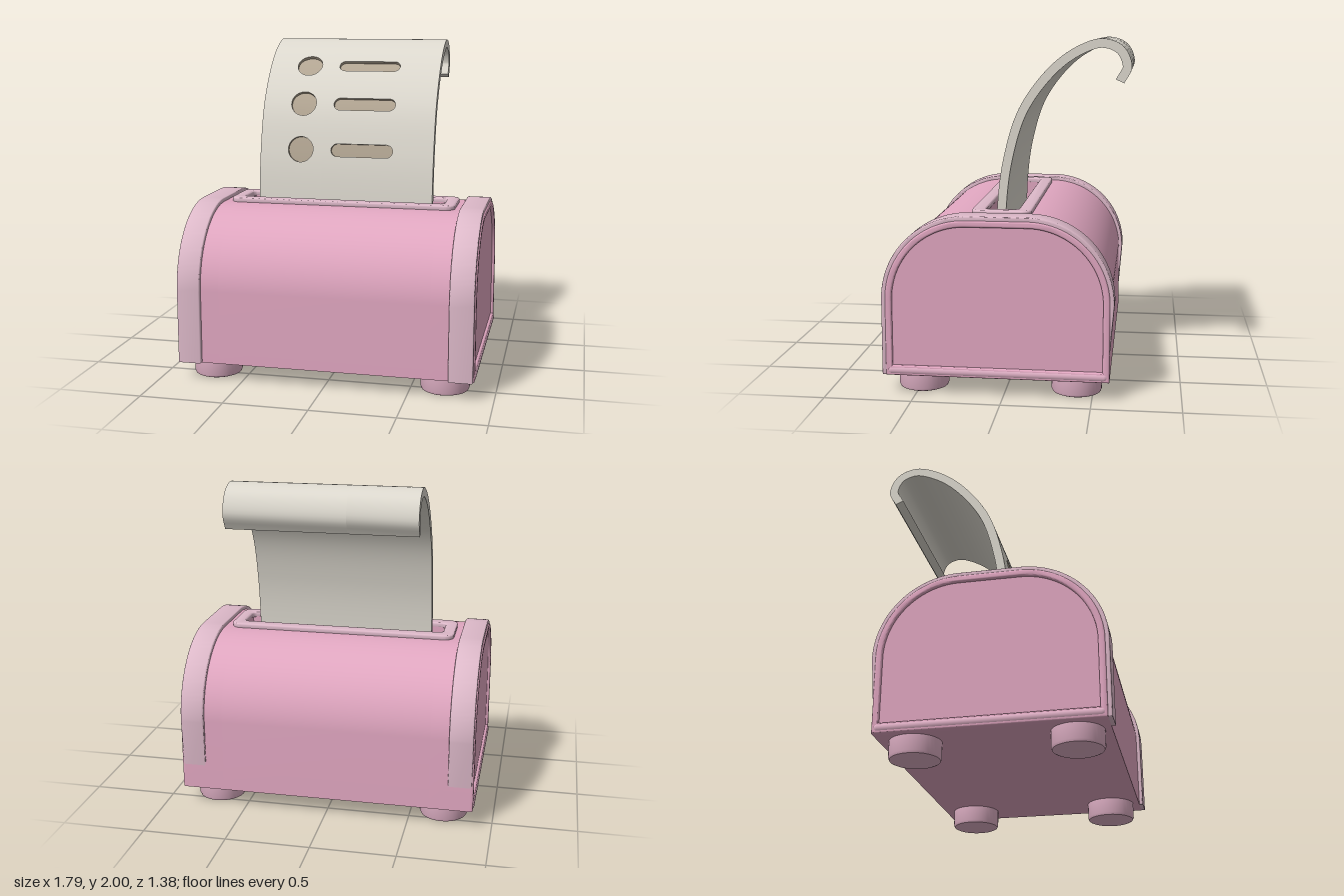
import * as THREE from 'three';
import { mergeGeometries, toCreasedNormals } from 'three/addons/utils/BufferGeometryUtils.js';
import { ParametricGeometry } from 'three/addons/geometries/ParametricGeometry.js';

const mat = (name, color, side = THREE.FrontSide) => {
  const m = new THREE.MeshStandardMaterial({ color, side });
  m.name = name;
  return m;
};

const BASE = 0.11, SPRING = 0.55;
const halfW = (o) => 0.6325 + o;
const radius = (o) => 0.46 + o;
const flat = halfW(0) - radius(0);

// Arched cross-section, grown by o, optionally with the toast slot cut from the top
function archShape(o, bottom, notch) {
  const w = halfW(o), r = radius(o), s = new THREE.Shape();
  s.moveTo(-w, bottom);
  s.lineTo(w, bottom);
  s.absarc(flat, SPRING, r, 0, Math.PI / 2);
  if (notch) {
    s.lineTo(notch.half, SPRING + r);
    s.lineTo(notch.half, notch.floor);
    s.lineTo(-notch.half, notch.floor);
    s.lineTo(-notch.half, SPRING + r);
  }
  s.absarc(-flat, SPRING, r, Math.PI / 2, Math.PI);
  s.closePath();
  return s;
}

// Open-bottomed arch strip between two offsets
function archStrip(outer, inner) {
  const w = halfW(outer), wi = halfW(inner), s = new THREE.Shape();
  s.moveTo(w, BASE);
  s.absarc(flat, SPRING, radius(outer), 0, Math.PI / 2);
  s.absarc(-flat, SPRING, radius(outer), Math.PI / 2, Math.PI);
  s.lineTo(-w, BASE);
  s.lineTo(-wi, BASE);
  s.absarc(-flat, SPRING, radius(inner), Math.PI, Math.PI / 2, true);
  s.absarc(flat, SPRING, radius(inner), Math.PI / 2, 0, true);
  s.lineTo(wi, BASE);
  s.closePath();
  return s;
}

function roundRect(Path, hx, hy, r) {
  const s = new Path();
  s.absarc(hx - r, hy - r, r, 0, Math.PI / 2);
  s.absarc(r - hx, hy - r, r, Math.PI / 2, Math.PI);
  s.absarc(r - hx, r - hy, r, Math.PI, Math.PI * 1.5);
  s.absarc(hx - r, r - hy, r, Math.PI * 1.5, Math.PI * 2);
  s.closePath();
  return s;
}

function extrude(shape, depth, bevel = 0) {
  const g = new THREE.ExtrudeGeometry(shape, {
    depth: depth - 2 * bevel, curveSegments: 24, bevelEnabled: bevel > 0,
    bevelSize: bevel, bevelThickness: bevel, bevelOffset: -bevel, bevelSegments: 3,
  });
  g.translate(0, 0, bevel);
  return toCreasedNormals(g, 0.6);
}

// Extrusion running along x from x0 to x1
const alongX = (shape, x0, x1, bevel) =>
  extrude(shape, x1 - x0, bevel).rotateY(Math.PI / 2).translate(x0, 0, 0);

export function createModel() {
  const model = new THREE.Group();
  const pink = mat('bodyPink', 0xe0a6c0);
  const pale = mat('trimPink', 0xdcb8c8);
  const footPink = mat('footPink', 0xdeafc4);
  const crimson = mat('slotCrimson', 0xb0085a);
  const paper = mat('paperCream', 0xdcd8ce, THREE.DoubleSide);
  const tan = mat('markTan', 0xb3a693, THREE.DoubleSide);

  const add = (name, geometry, material, parent = model) => {
    const m = new THREE.Mesh(geometry, material);
    m.name = name;
    parent.add(m);
    return m;
  };

  // Casing, centred on its own z
  const casing = new THREE.Group();
  casing.name = 'casing';
  casing.position.z = 0.035;
  model.add(casing);
  const notch = { half: 0.095, floor: 0.6 };
  add('slottedBody', alongX(archShape(0, BASE, notch), -0.63, 0.63), pink, casing);
  const frame = archShape(0, BASE);
  frame.holes.push(archShape(-0.038, 0.168));
  for (const [side, s] of [['left', 1], ['right', -1]]) {
    const span = (shape, a, b, bevel) => alongX(shape, s > 0 ? a : -b, s > 0 ? b : -a, bevel);
    add(side + 'EndBody', span(archShape(0, BASE), 0.63, 0.872), pink, casing);
    add(side + 'EndFrame', span(frame, 0.84, 0.89, 0.01), pink, casing);
    add(side + 'Band', span(archStrip(0.023, -0.012), 0.74, 0.882, 0.008), pale, casing);
    const bar = new THREE.CapsuleGeometry(0.029, 1.2, 6, 16).rotateX(Math.PI / 2);
    add(side + 'BottomBar', bar.translate(s * 0.867, 0.14, 0), footPink, casing);
  }

  // Slot rim and the coloured slot floor
  const rim = roundRect(THREE.Shape, 0.7, 0.172, 0.06);
  rim.holes.push(roundRect(THREE.Path, 0.63, 0.095, 0.03));
  add('slotRim', extrude(rim, 0.035, 0.009).rotateX(-Math.PI / 2).translate(0, 1.002, 0), pale, casing);
  const floor = extrude(roundRect(THREE.Shape, 0.62, 0.063, 0.02), 0.03).rotateX(-Math.PI / 2);
  add('slotFloor', floor.translate(0, 0.59, -0.031), crimson, casing);

  // Feet
  const footProfile = [[0, 0], [0.125, 0], [0.139, 0.006], [0.145, 0.02], [0.145, 0.12]]
    .map(([x, y]) => new THREE.Vector2(x, y));
  const footGeo = toCreasedNormals(new THREE.LatheGeometry(footProfile, 40), 0.7);
  for (const x of [-0.7, 0.7]) for (const z of [0.485, -0.405]) {
    add('foot', footGeo, footPink).position.set(x, 0, z);
  }

  // Curling sheet: side curve of its front face
  const curve = new THREE.CatmullRomCurve3([
    [0.075, 0.6], [0.074, 1.03], [0.035, 1.33], [-0.055, 1.61], [-0.225, 1.84], [-0.38, 1.955],
    [-0.525, 2.0], [-0.642, 1.955], [-0.69, 1.84], [-0.647, 1.75],
  ].map(([z, y]) => new THREE.Vector3(0, y, z)));
  curve.arcLengthDivisions = 800;
  const length = curve.getLength(), thick = 0.052, pocket = 0.02;
  const sheetPoint = (x, v, depth, target) => {
    const t = THREE.MathUtils.clamp(v / length, 0, 1);
    const p = curve.getPointAt(t), d = curve.getTangentAt(t);
    return target.set(x, p.y + d.z * depth, p.z - d.y * depth);
  };
  const surface = (nu, nv, fn) => {
    const g = new ParametricGeometry((u, v, target) => {
      const [x, along, depth] = fn(u, v);
      sheetPoint(x, along, depth, target);
    }, nu, nv);
    g.computeVertexNormals();
    return g;
  };
  const lengthAtHeight = (y) => {
    let a = 0, b = length * 0.65;
    for (let i = 0; i < 30; i++) {
      const m = (a + b) / 2;
      if (curve.getPointAt(m / length).y < y) a = m; else b = m;
    }
    return a;
  };

  const sheet = new THREE.Group();
  sheet.name = 'curledSheet';
  model.add(sheet);
  const X = 0.55, paperParts = [], markParts = [];
  paperParts.push(surface(1, 90, (u, v) => [X - 2 * X * u, v * length, thick]));
  for (const s of [-1, 1]) paperParts.push(surface(1, 90, (u, v) => [s * X, v * length, u * thick]));
  for (const end of [0, length]) paperParts.push(surface(1, 1, (u, v) => [X - 2 * X * u, end, v * thick]));

  // Front skin in two columns, with round and pill-shaped pockets left open
  const columns = [
    { x0: -X, x1: -0.15, a: -0.29, b: -0.29, r: 0.08 },
    { x0: -0.15, x1: X, a: -0.055, b: 0.255, r: 0.04 },
  ];
  for (const { x0, x1, a, b, r } of columns) {
    let from = 0;
    const plain = (to) => {
      const start = from;
      paperParts.push(surface(1, 30, (u, v) => [x0 + (x1 - x0) * u, start + (to - start) * v, 0]));
    };
    for (const y of [1.33, 1.61, 1.842]) {
      const c = lengthAtHeight(y);
      plain(c - r);
      const along = (v) => c - r * Math.cos(v * Math.PI);
      const bulge = (v) => Math.max(r * Math.sin(v * Math.PI), 1e-4);
      const mix = (p, q, u) => p + (q - p) * u;
      paperParts.push(surface(1, 24, (u, v) => [mix(x0, a - bulge(v), u), along(v), 0]));
      paperParts.push(surface(1, 24, (u, v) => [mix(b + bulge(v), x1, u), along(v), 0]));
      markParts.push(surface(1, 24, (u, v) => [mix(a - bulge(v), b + bulge(v), u), along(v), pocket]));
      markParts.push(surface(64, 1, (u, v) => {
        const t = (u - 0.25) * Math.PI * 2;
        return [(u < 0.5 ? b : a) + r * Math.cos(t), c + r * Math.sin(t), v * pocket];
      }));
      from = c + r;
    }
    plain(length);
  }
  add('sheetPaper', mergeGeometries(paperParts), paper, sheet);
  add('sheetMarks', mergeGeometries(markParts), tan, sheet);

  return model;
}
